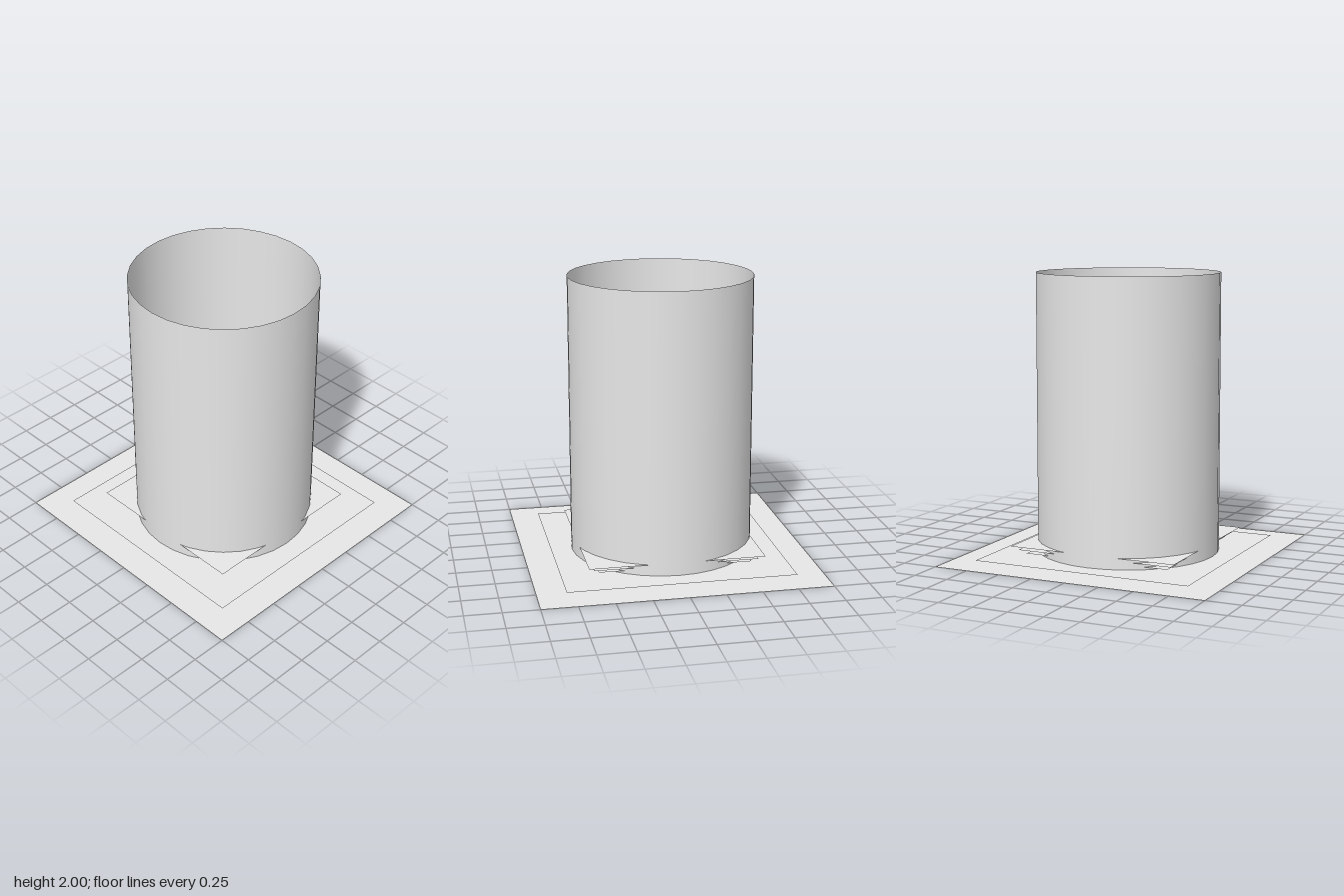
import * as THREE from 'three';

export function createModel() {
  const group = new THREE.Group();
  const paleGrey = new THREE.MeshStandardMaterial({ color: 0xe7e7e7, side: THREE.DoubleSide });
  paleGrey.name = 'paleGrey';

  // Open tube standing on the ground
  const tube = new THREE.Mesh(new THREE.CylinderGeometry(0.65, 0.65, 2, 32, 1, true), paleGrey);
  tube.name = 'openTube';
  tube.position.y = 1;
  group.add(tube);

  // Flat square sheets stacked through the foot of the tube: [name, half width, height]
  const sheets = [
    ['baseSheet', 1, 0],
    ['middleSheet', 0.8, 0.02],
    ['lowerInnerSheet', 0.54, 0.04],
    ['centreInnerSheet', 0.58, 0.07],
    ['upperInnerSheet', 0.62, 0.1],
  ];
  for (const [name, half, y] of sheets) {
    const geometry = new THREE.PlaneGeometry(half * 2, half * 2).rotateX(-Math.PI / 2);
    const sheet = new THREE.Mesh(geometry, paleGrey);
    sheet.name = name;
    sheet.position.y = y;
    group.add(sheet);
  }
  return group;
}
